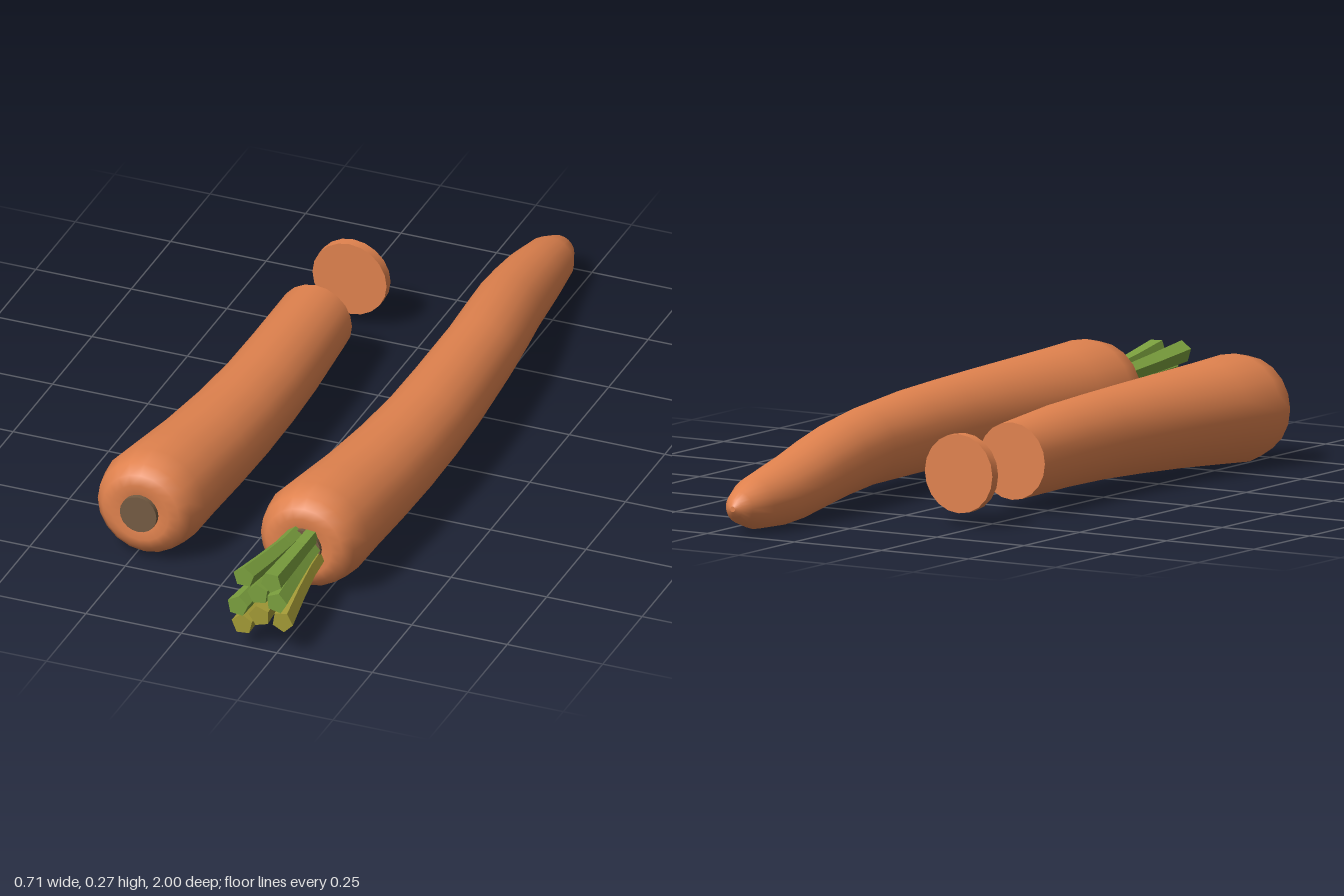
import * as THREE from 'three';

const mat = (name, color) => {
  const m = new THREE.MeshStandardMaterial({ color });
  m.name = name;
  return m;
};

// Skin through round sections [x, y, z, radius], ordered front (+z) to back, with flat caps
function loft(sections, sides, flat = false, turn = 0) {
  const pos = [], idx = [];
  const ring = ([x, y, z, r]) => {
    const start = pos.length / 3;
    for (let j = 0; j < sides; j++) {
      const a = turn + (j / sides) * Math.PI * 2;
      pos.push(x + r * Math.cos(a), y + r * Math.sin(a), z);
    }
    return start;
  };
  const starts = sections.map(ring);
  for (let i = 0; i < starts.length - 1; i++) {
    for (let j = 0; j < sides; j++) {
      const k = (j + 1) % sides;
      const a = starts[i] + j, b = starts[i] + k, c = starts[i + 1] + j, d = starts[i + 1] + k;
      idx.push(a, c, b, b, c, d);
    }
  }
  // Caps have their own corners so that their edges stay sharp
  const front = ring(sections[0]), back = ring(sections[sections.length - 1]);
  for (let j = 1; j < sides - 1; j++) {
    idx.push(front, front + j, front + j + 1, back, back + j + 1, back + j);
  }
  let g = new THREE.BufferGeometry();
  g.setAttribute('position', new THREE.Float32BufferAttribute(pos, 3));
  g.setIndex(idx);
  if (flat) g = g.toNonIndexed();
  g.computeVertexNormals();
  return g;
}

// Shared root shape: rounded shoulder, bent body
const BODY = [
  [0.2, 0.139, 0.709, 0.045],
  [0.2, 0.139, 0.715, 0.075],
  [0.2, 0.139, 0.708, 0.1],
  [0.2, 0.139, 0.685, 0.122],
  [0.202, 0.139, 0.63, 0.134],
  [0.213, 0.139, 0.52, 0.127],
  [0.229, 0.139, 0.38, 0.119],
  [0.241, 0.139, 0.22, 0.112],
  [0.246, 0.139, 0.06, 0.106],
  [0.243, 0.138, -0.1, 0.102],
  [0.23, 0.132, -0.33, 0.095],
];
// Tapering end of the whole root
const TAIL = [
  [0.214, 0.122, -0.47, 0.092],
  [0.196, 0.108, -0.6, 0.088],
  [0.184, 0.092, -0.71, 0.083],
  [0.178, 0.082, -0.8, 0.077],
  [0.177, 0.073, -0.91, 0.063],
  [0.177, 0.07, -0.97, 0.039],
  [0.177, 0.07, -0.99, 0.022],
  [0.177, 0.07, -1, 0.007],
];
const SIDES = 20;
const CUT_X = -0.427; // offset of the cut root from the whole one

// Stem ends at z = 1: x, y, turn, olive?
const STEMS = [
  [0.163, 0.197, 0.3, false],
  [0.235, 0.197, 0.9, false],
  [0.2, 0.157, 0.5, false],
  [0.249, 0.143, 0.1, false],
  [0.147, 0.113, 0.2, false],
  [0.204, 0.097, 0.6, true],
  [0.264, 0.094, 1.1, true],
  [0.159, 0.065, 0.4, true],
];

export function createModel() {
  const orange = mat('carrot orange', 0xe0824e);
  const brown = mat('crown brown', 0x755c43);
  const green = mat('stem green', 0x7ba03e);
  const olive = mat('stem olive', 0xa39a36);

  const model = new THREE.Group();
  const add = (parent, name, geometry, material) => {
    const mesh = new THREE.Mesh(geometry, material);
    mesh.name = name;
    parent.add(mesh);
  };

  // Whole carrot
  const whole = new THREE.Group();
  whole.name = 'wholeCarrot';
  add(whole, 'wholeRoot', loft([...BODY, ...TAIL], SIDES), orange);
  add(whole, 'wholeCrown', loft([[0.2, 0.138, 0.72, 0.048], [0.2, 0.138, 0.7, 0.048]], SIDES), brown);

  // Five-sided stems flaring out of the crown
  const stems = new THREE.Group();
  stems.name = 'stems';
  for (const [x, y, turn, isOlive] of STEMS) {
    const at = (spread, z, r) => [0.2 + (x - 0.2) * spread, 0.135 + (y - 0.135) * spread, z, r];
    const sections = [at(1, 1, 0.028), at(0.76, 0.88, 0.025), at(0.6, 0.78, 0.022), at(0.52, 0.69, 0.021)];
    add(stems, 'stem', loft(sections, 5, true, turn), isOlive ? olive : green);
  }
  whole.add(stems);

  // Cut carrot with its trimmed crown
  const cut = new THREE.Group();
  cut.name = 'cutCarrot';
  cut.position.x = CUT_X;
  add(cut, 'cutRoot', loft(BODY, SIDES), orange);
  add(cut, 'cutCrown', loft([[0.199, 0.138, 0.722, 0.048], [0.199, 0.138, 0.7, 0.048]], SIDES), brown);

  // Loose slice behind the cut
  add(cut, 'slice', loft([[0.231, 0.132, -0.542, 0.097], [0.231, 0.132, -0.568, 0.097]], SIDES), orange);

  model.add(whole, cut);
  return model;
}
